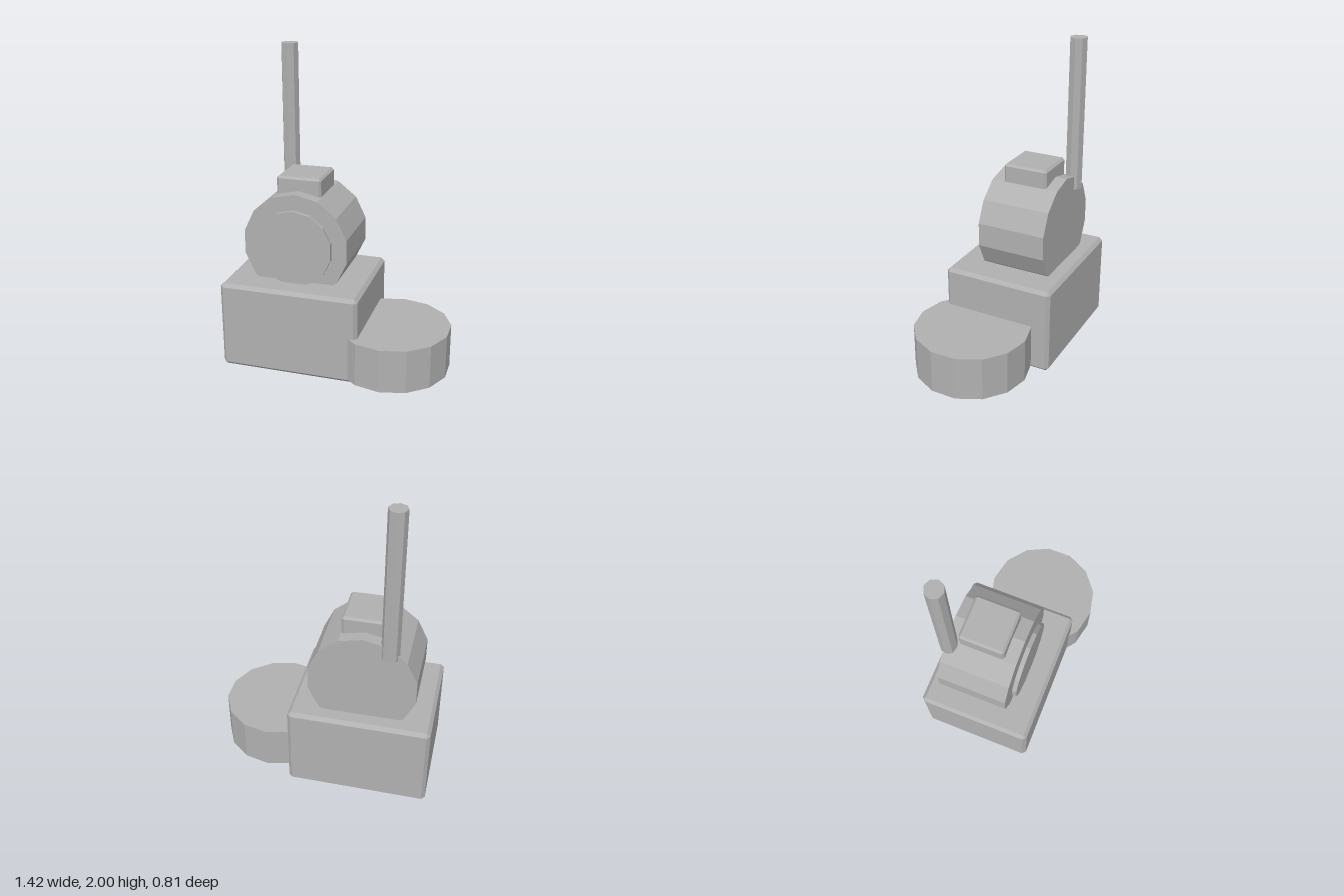
import * as THREE from 'three';
import { ConvexGeometry } from 'three/addons/geometries/ConvexGeometry.js';

// Box with flat chamfered edges: three points at each corner, hulled
function chamferBox(w, h, d, c) {
  const points = [];
  for (const sx of [-1, 1]) for (const sy of [-1, 1]) for (const sz of [-1, 1]) {
    for (const [ix, iy, iz] of [[0, 1, 1], [1, 0, 1], [1, 1, 0]]) {
      points.push(new THREE.Vector3(
        sx * (w / 2 - ix * c), sy * (h / 2 - iy * c), sz * (d / 2 - iz * c)));
    }
  }
  return new ConvexGeometry(points);
}

export function createModel() {
  const model = new THREE.Group();
  model.name = 'model';
  const grey = new THREE.MeshStandardMaterial({ color: 0xb0b0b0, flatShading: true });
  grey.name = 'grey';

  function add(name, geometry, x, y, z) {
    const mesh = new THREE.Mesh(geometry, grey);
    mesh.name = name;
    mesh.position.set(x, y, z);
    model.add(mesh);
  }

  // Base block with the round platform set into its left side
  add('baseBlock', chamferBox(0.895, 0.57, 0.728, 0.022), -0.263, 0.285, -0.042);
  add('roundPlatform', new THREE.CylinderGeometry(0.367, 0.367, 0.283, 14), 0.348, 0.167, 0.038);

  // Drum lying along z, with a raised disc on its front
  const drum = new THREE.CylinderGeometry(0.343, 0.343, 0.448, 14).rotateX(Math.PI / 2);
  add('drum', drum, -0.265, 0.8, -0.082);
  const disc = new THREE.CylinderGeometry(0.246, 0.246, 0.028, 14).rotateX(Math.PI / 2);
  add('frontDisc', disc, -0.265, 0.8, 0.165);

  // Cap on top of the drum
  add('topCap', chamferBox(0.288, 0.23, 0.292, 0.014), -0.264, 1.113, -0.083);

  // Tall pole at the back
  add('pole', new THREE.CylinderGeometry(0.056, 0.056, 0.972, 8), -0.428, 1.514, -0.284);

  return model;
}
